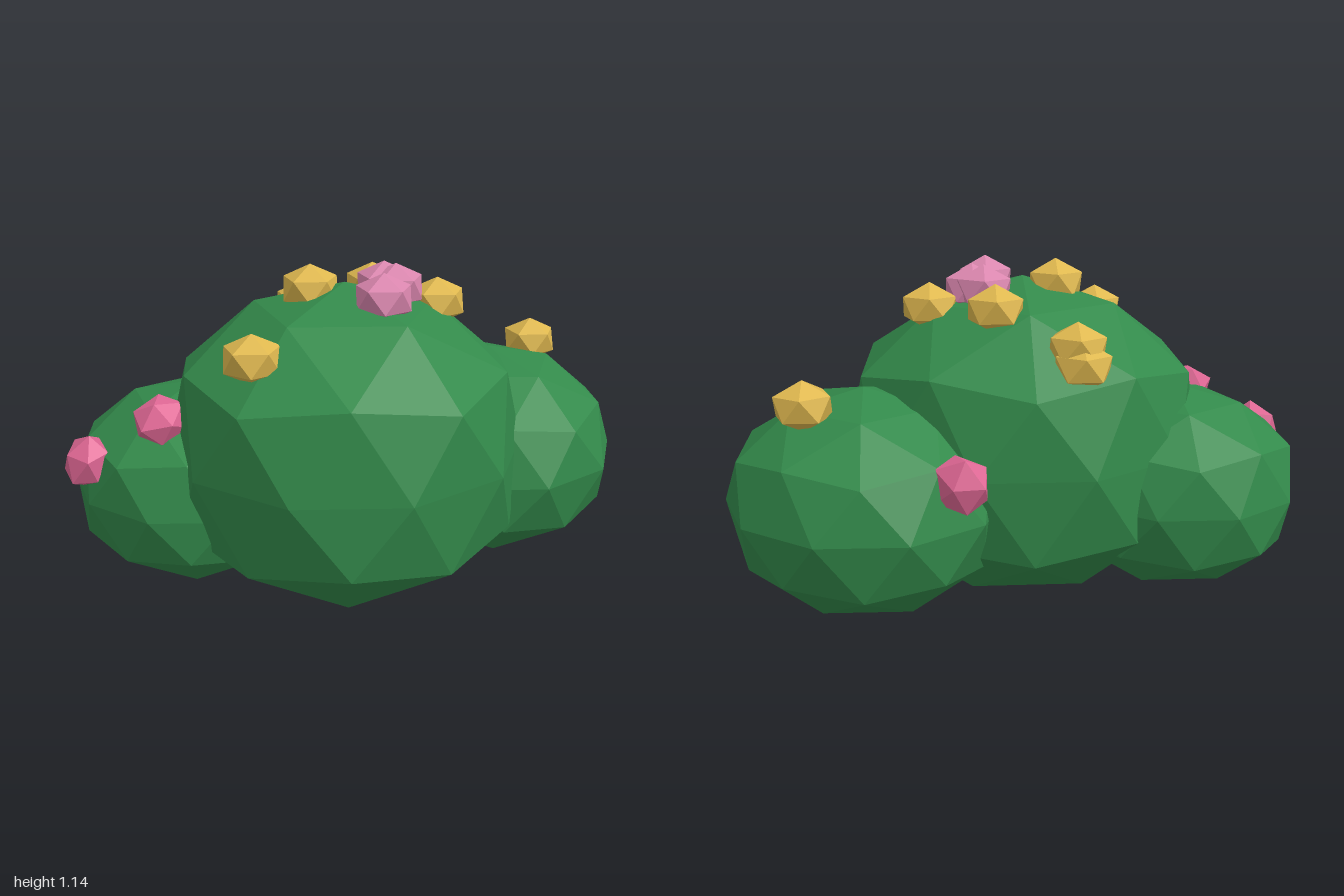
import * as THREE from 'three';

const mat = (name, color) => Object.assign(new THREE.MeshStandardMaterial({ color, flatShading: true }), { name });

// Icosphere turned so a corner points straight up and the next ring starts at +x
function poleIcosphere(detail) {
  const g = new THREE.IcosahedronGeometry(1, detail);
  g.rotateX(-Math.atan2((1 + Math.sqrt(5)) / 2, 1));
  g.rotateY(Math.PI / 2);
  return g;
}

// Foliage mound: shoulder and foot rings swell outwards, base is flattened on the ground
function moundGeometry({ c, r, swell }) {
  const g = poleIcosphere(1);
  const p = g.attributes.position;
  for (let i = 0; i < p.count; i++) {
    const h = Math.abs(p.getY(i));
    const k = h > 0.4 && h < 0.6 ? swell : 1;
    const y = Math.max(c[1] + p.getY(i) * r[1], 0.005);
    p.setXYZ(i, c[0] + p.getX(i) * r[0] * k, y, c[2] + p.getZ(i) * r[2] * k);
  }
  g.computeVertexNormals();
  return g;
}

export function createModel() {
  const group = new THREE.Group();
  group.name = 'floweringBush';
  const leaf = mat('leaf green', 0x338a4b);
  const yellow = mat('blossom yellow', 0xdfb84f);
  const palePink = mat('blossom pale pink', 0xda86ae);
  const deepPink = mat('blossom deep pink', 0xdf6794);

  const mounds = {
    mainMound: { c: [-0.06, 0.52, 0.04], r: [0.615, 0.565, 0.62], swell: 1.065 },
    leftMound: { c: [0.55, 0.39, -0.085], r: [0.465, 0.38, 0.495], swell: 1.02 },
    rightMound: { c: [-0.53, 0.36, -0.22], r: [0.43, 0.355, 0.45], swell: 1.04 },
  };
  for (const [name, mound] of Object.entries(mounds)) {
    const mesh = new THREE.Mesh(moundGeometry(mound), leaf);
    mesh.name = name;
    group.add(mesh);
  }

  // Blossoms: slightly flattened buds
  const bud = poleIcosphere(0);
  function blossom(name, material, radius, thickness, pos) {
    const mesh = new THREE.Mesh(bud, material);
    mesh.name = name;
    mesh.position.set(...pos);
    mesh.scale.set(radius, thickness, radius);
    group.add(mesh);
    return mesh;
  }

  // Upright blossoms on the crowns
  [
    [-0.445, 0.917, 0.26],
    [-0.165, 1.062, -0.005],
    [0.125, 1.012, -0.18],
    [0.275, 0.995, 0.05],
    [-0.07, 0.912, -0.4],
    [-0.075, 0.857, -0.43],
    [0.77, 0.748, -0.18],
  ].forEach((p, i) => blossom(`yellowBlossom${i + 1}`, yellow, 0.105, 0.083, p));

  [[0.1, 1.053, -0.005], [0.125, 1.052, 0.04], [0.02, 1.058, 0.195]]
    .forEach((p, i) => blossom(`palePinkBlossom${i + 1}`, palePink, 0.105, 0.083, p));

  // Side blossoms face out from their mound
  [
    ['rightMound', [-0.93, 0.5, -0.13]],
    ['rightMound', [-0.69, 0.655, -0.02]],
    ['mainMound', [0.365, 0.54, -0.51]],
  ].forEach(([moundName, p], i) => {
    const { c, r } = mounds[moundName];
    const normal = new THREE.Vector3(...p.map((v, k) => (v - c[k]) / (r[k] * r[k]))).normalize();
    blossom(`deepPinkBlossom${i + 1}`, deepPink, 0.1, 0.072, p)
      .quaternion.setFromUnitVectors(new THREE.Vector3(0, 1, 0), normal);
  });

  return group;
}
